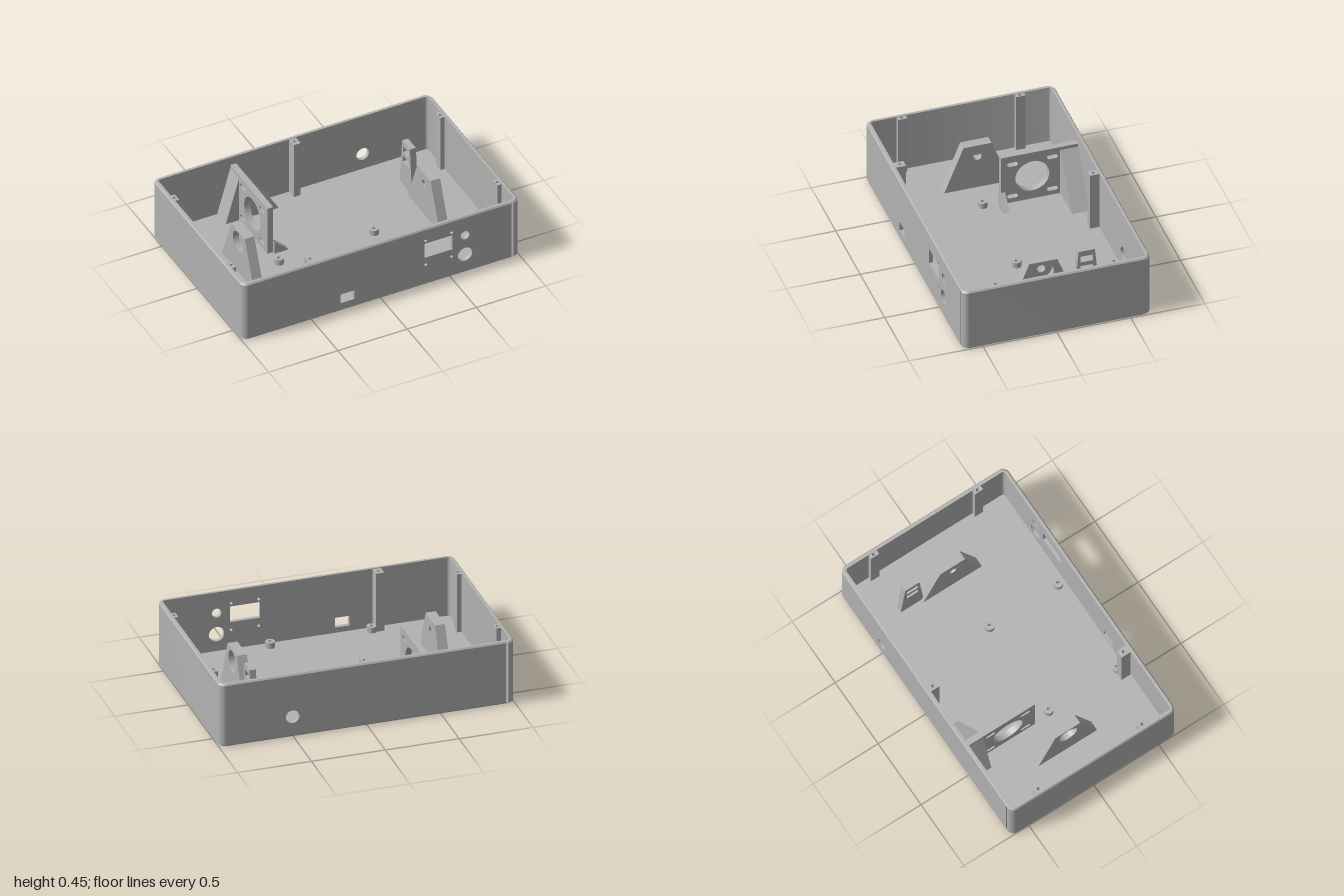
import * as THREE from 'three';
import { toCreasedNormals } from 'three/addons/utils/BufferGeometryUtils.js';

const W = 1, D = 0.637, WALL = 0.027, R = 0.045;   // half width, half depth, wall, corner radius
const BASE = 0.012, FLOOR = 0.027, RIM = 0.44, TOP = 0.45;

const circle = (x, y, r) => new THREE.Path().absarc(x, y, r, 0, Math.PI * 2, true);
const polygon = (pts, holes = []) => {
  const s = new THREE.Shape(pts.map(p => new THREE.Vector2(...p)));
  s.holes.push(...holes);
  return s;
};
const rect = (x0, y0, x1, y1, holes) => polygon([[x0, y0], [x1, y0], [x1, y1], [x0, y1]], holes);

function roundedRect(w, d, r, Type = THREE.Shape) {
  const s = new Type(), q = Math.PI / 2;
  s.absarc(w - r, d - r, r, 0, q);
  s.absarc(r - w, d - r, r, q, 2 * q);
  s.absarc(r - w, r - d, r, 2 * q, 3 * q);
  s.absarc(w - r, r - d, r, 3 * q, 4 * q);
  s.closePath();
  return s;
}

const extrude = (shape, depth) =>
  new THREE.ExtrudeGeometry(shape, { depth, bevelEnabled: false, curveSegments: 16 });
// shape in (x, -z), raised from y0 to y1
const upright = (shape, y0, y1) => extrude(shape, y1 - y0).rotateX(-Math.PI / 2).translate(0, y0, 0);
// shape in (x, y), running from z0 to z1
const frontal = (shape, z0, z1) => extrude(shape, z1 - z0).translate(0, 0, z0);
// shape in (z, y), running from x0 to x1
const sideways = (shape, x0, x1) => extrude(shape, x1 - x0).rotateY(-Math.PI / 2).translate(x1, 0, 0);

// pull the outer edge inwards at one height to make a chamfer
function chamfer(geo, y, inset) {
  const p = geo.attributes.position;
  for (let i = 0; i < p.count; i++) {
    const x = p.getX(i), z = p.getZ(i);
    const outer = Math.abs(x) > W - WALL + 0.001 || Math.abs(z) > D - WALL + 0.001;
    if (outer && Math.abs(p.getY(i) - y) < 1e-4) {
      p.setX(i, x * (1 - inset / W));
      p.setZ(i, z * (1 - inset / D));
    }
  }
  return geo;
}

export function createModel() {
  const model = new THREE.Group();
  model.name = 'enclosure';
  const grey = new THREE.MeshStandardMaterial({ color: 0xb2b2b2 });
  grey.name = 'grey plastic';
  const add = (name, geo) => {
    const mesh = new THREE.Mesh(toCreasedNormals(geo, 0.5), grey);
    mesh.name = name;
    model.add(mesh);
    return mesh;
  };

  // Base with chamfered underside, and inner floor
  add('base', chamfer(upright(roundedRect(W, D, R), 0, BASE), 0, 0.012));
  add('floor', upright(rect(-W + 0.02, -D + 0.02, W - 0.02, D - 0.02), BASE, FLOOR));

  // Rounded end walls
  const seam = 0.94, q = Math.PI / 2, r2 = R - WALL;
  const end = new THREE.Shape();
  end.moveTo(seam, -D);
  end.absarc(W - R, R - D, R, -q, 0);
  end.absarc(W - R, D - R, R, 0, q);
  end.lineTo(seam, D);
  end.lineTo(seam, D - WALL);
  end.absarc(W - R, D - R, r2, q, 0, true);
  end.absarc(W - R, R - D, r2, 0, -q, true);
  end.lineTo(seam, WALL - D);
  end.closePath();
  add('leftWall', upright(end, BASE, RIM));
  add('rightWall', upright(end, BASE, RIM).rotateY(Math.PI));

  // Front wall with display window, controls and port
  const window = (x0, y0, x1, y1) => new THREE.Path(
    [[x0, y0], [x0, y1], [x1, y1], [x1, y0]].map(p => new THREE.Vector2(...p)));
  const frontHoles = [window(0.31, 0.22, 0.515, 0.333), window(-0.295, 0.065, -0.195, 0.135),
    circle(0.605, 0.3, 0.032), circle(0.605, 0.148, 0.052)];
  for (const x of [0.32, 0.507]) for (const y of [0.163, 0.355]) frontHoles.push(circle(x, y, 0.01));
  add('frontWall', frontal(rect(-seam, BASE, seam, RIM, frontHoles), D - WALL, D));

  // Back wall with cable hole
  add('backWall', frontal(rect(-seam, BASE, seam, RIM, [circle(0.506, 0.145, 0.046)]), -D, WALL - D));

  // Rim with chamfered outer edge
  const rim = roundedRect(W, D, R);
  rim.holes.push(roundedRect(W - WALL, D - WALL, r2, THREE.Path));
  add('rim', chamfer(upright(rim, RIM, TOP), TOP, 0.008));

  // Lid screw posts: x0, z0, x1, z1, hole x, hole z
  const posts = [[-0.025, -0.612, 0.025, -0.545, 0, -0.578], [-0.507, 0.54, -0.452, 0.612, -0.48, 0.572]];
  for (const z of [-0.4, 0.4]) {
    posts.push([0.943, z - 0.032, 0.976, z + 0.032, 0.96, z]);
    posts.push([-0.976, z - 0.032, -0.943, z + 0.032, -0.96, z]);
  }
  for (const [x0, z0, x1, z1, hx, hz] of posts) {
    add('screwPost', upright(rect(x0, -z1, x1, -z0, [circle(hx, -hz, 0.011)]), FLOOR, 0.446));
  }

  // Circuit board standoffs
  for (const x of [-0.427, 0.26]) for (const z of [0.03, 0.557]) {
    const ring = new THREE.Shape().absarc(x, -z, 0.032, 0, Math.PI * 2);
    ring.holes.push(circle(x, -z, 0.012));
    add('standoff', upright(ring, FLOOR, 0.068));
  }

  // Motor plate with a large bore and four slots
  const slot = (z, y) => {
    const s = new THREE.Path(), w = 0.022, r = 0.015;
    s.absarc(z + w, y, r, q, -q, true);
    s.absarc(z - w, y, r, -q, -3 * q, true);
    s.closePath();
    return s;
  };
  const plateHoles = [circle(-0.3, 0.205, 0.115)];
  for (const z of [-0.165, -0.435]) for (const y of [0.075, 0.325]) plateHoles.push(slot(z, y));
  add('motorPlate', sideways(rect(-0.612, FLOOR, -0.088, 0.39, plateHoles), -0.45, -0.408));

  // Triangular gussets bracing the motor plate
  const gusset = (x0, x1, top, z0, z1) => add('gusset', frontal(
    polygon([[x0, FLOOR], [x1, FLOOR], [x0, top]]), z0, z1));
  gusset(-0.41, -0.163, 0.37, -0.612, -0.488);
  gusset(-0.41, -0.307, 0.12, -0.115, -0.068);
  add('gusset', frontal(polygon([[-0.545, FLOOR], [-0.448, FLOOR], [-0.448, 0.37]]), -0.612, -0.488));

  // Bearing supports, with the bearing seat on the outer face
  const profile = [[-0.23, FLOOR], [0.22, FLOOR], [0.09, 0.355], [-0.1, 0.355]];
  for (const side of [1, -1]) {
    const span = (a, b) => side > 0 ? [a, b] : [-b, -a];
    add('bearingSupport', sideways(polygon(profile, [circle(-0.005, 0.27, 0.028)]), ...span(0.637, 0.662)));
    add('bearingSeat', sideways(polygon(profile, [circle(-0.005, 0.27, 0.072)]), ...span(0.662, 0.705)));
  }

  // Slotted sensor bracket
  add('sensorBracket', sideways(polygon(
    [[-0.39, FLOOR], [-0.215, FLOOR], [-0.245, 0.375], [-0.355, 0.375]],
    [window(-0.343, 0.29, -0.257, 0.335), window(-0.343, 0.215, -0.257, 0.26)]), 0.66, 0.703));

  return model;
}
